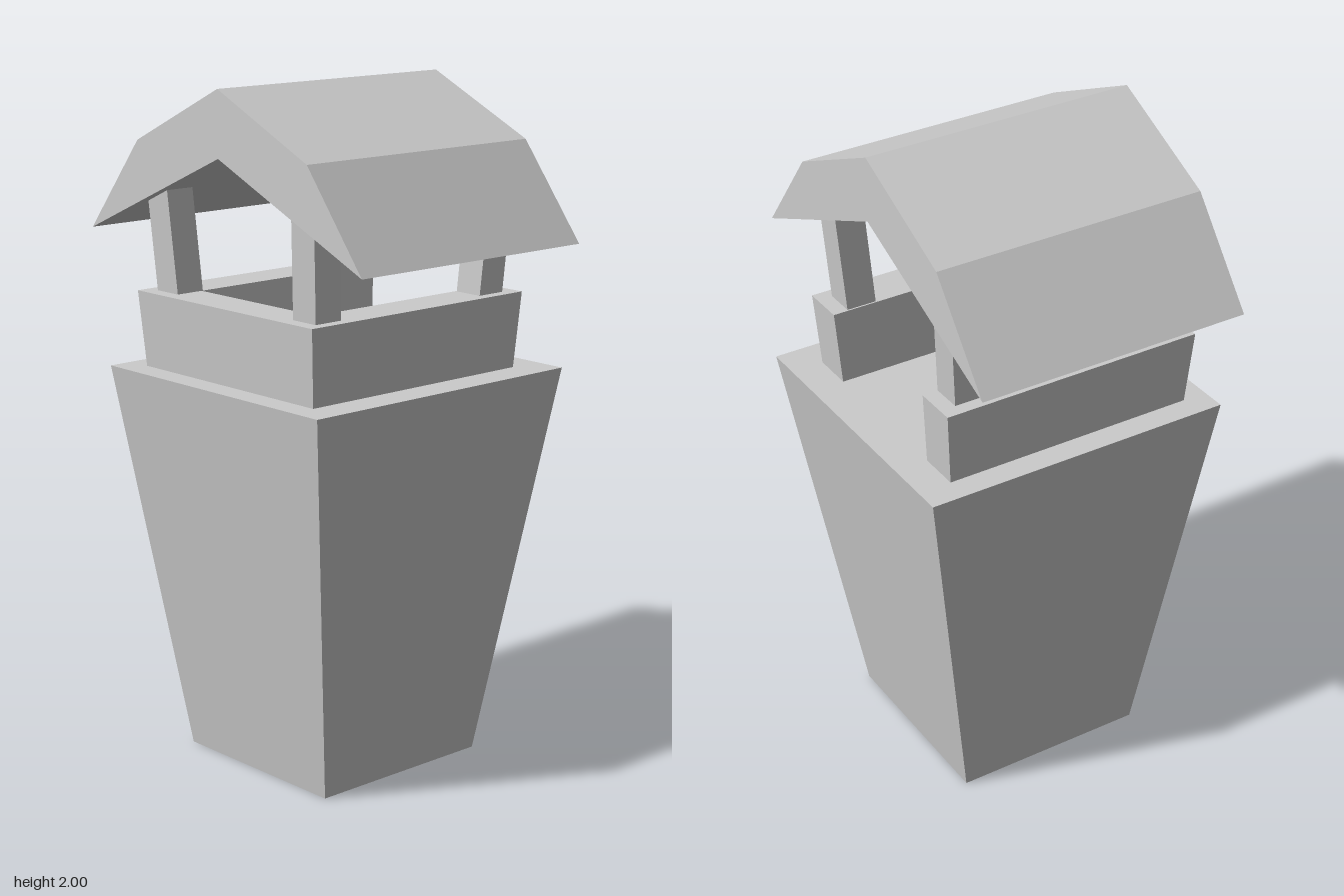
import * as THREE from 'three';

const material = new THREE.MeshStandardMaterial({ color: 0xcccccc, flatShading: true });

function addPart(group, name, geometry) {
  geometry.computeVertexNormals();
  const mesh = new THREE.Mesh(geometry, material);
  mesh.name = name;
  group.add(mesh);
}

// Box whose bottom and top rectangles are given as [xMin, xMax, zMin, zMax]
function taperedBox(y0, y1, bottom, top) {
  const geometry = new THREE.BoxGeometry(1, 1, 1);
  const p = geometry.attributes.position;
  for (let i = 0; i < p.count; i++) {
    const r = p.getY(i) > 0 ? top : bottom;
    p.setXYZ(i, p.getX(i) > 0 ? r[1] : r[0], p.getY(i) > 0 ? y1 : y0, p.getZ(i) > 0 ? r[3] : r[2]);
  }
  return geometry;
}

function polygon(points) {
  return new THREE.Shape(points.map(([x, y]) => new THREE.Vector2(x, y)));
}

export function createModel() {
  const group = new THREE.Group();
  group.name = 'watchtower';

  // Tower body, widening upwards
  addPart(group, 'towerBody', taperedBox(0, 1.17,
    [-0.3, 0.295, -0.295, 0.3], [-0.44, 0.46, -0.475, 0.475]));

  // U-shaped parapet, open at the back and flaring slightly
  const height = 0.225;
  const parapet = new THREE.ExtrudeGeometry(polygon([
    [-0.365, -0.4], [0.36, -0.4], [0.36, 0.375], [0.235, 0.375],
    [0.235, -0.275], [-0.24, -0.275], [-0.24, 0.375], [-0.365, 0.375],
  ]), { depth: height, bevelEnabled: false });
  parapet.rotateX(-Math.PI / 2);
  const p = parapet.attributes.position;
  for (let i = 0; i < p.count; i++) {
    const s = 1 + 0.042 * p.getY(i) / height;
    p.setXYZ(i, p.getX(i) * s, p.getY(i) + 1.168, p.getZ(i) * s);
  }
  addPart(group, 'parapet', parapet);

  // Four corner posts leaning outwards
  for (const sx of [-1, 1]) {
    for (const sz of [-1, 1]) {
      const x = sx * 0.295, z = sz > 0 ? 0.327 : -0.297, h = 0.046;
      const foot = [x - h, x + h, z - h, z + h];
      const dx = sx * 0.018, dz = sz * 0.022;
      const head = [foot[0] + dx, foot[1] + dx, foot[2] + dz, foot[3] + dz];
      addPart(group, `${sz > 0 ? 'front' : 'back'}${sx > 0 ? 'Left' : 'Right'}Post`,
        taperedBox(1.38, 1.71, foot, head));
    }
  }

  // Gabled roof with steeper eaves
  const roof = new THREE.ExtrudeGeometry(polygon([
    [0, 2], [-0.358, 1.83], [-0.58, 1.555], [0, 1.81], [0.578, 1.555], [0.365, 1.83],
  ]), { depth: 0.83, bevelEnabled: false });
  roof.translate(0, 0, -0.405);
  addPart(group, 'roof', roof);

  return group;
}
